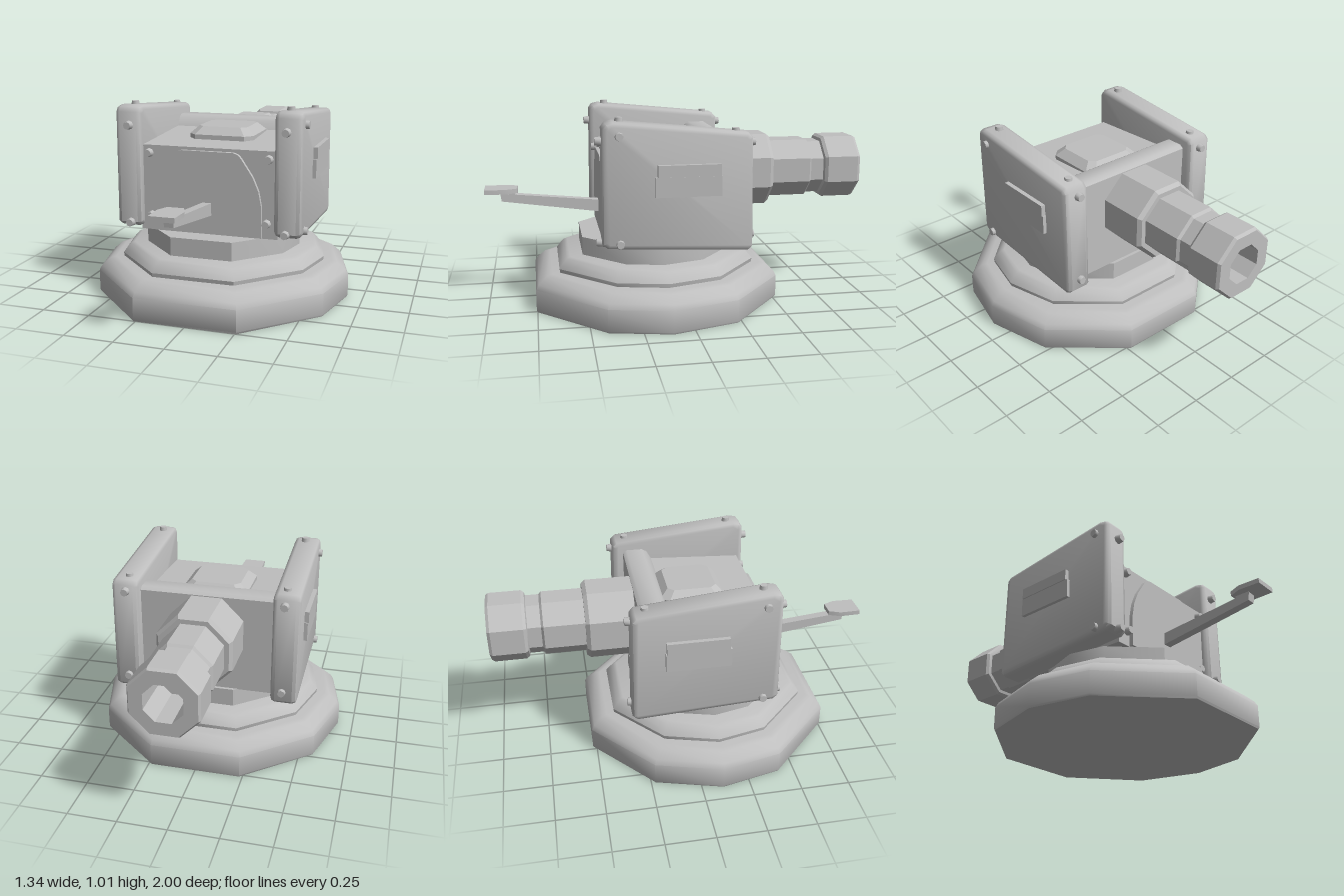
import * as THREE from 'three';
import { toCreasedNormals } from 'three/addons/utils/BufferGeometryUtils.js';

const grey = new THREE.MeshStandardMaterial({ color: 0xbfbfbf });
grey.name = 'grey metal';

// Half outline of the slightly uneven ten-sided base, as [x, z] round its own centre
const BASE_Z = 0.12;
const half = [[0.26, 0.635], [0.6, 0.3], [0.67, -0.01], [0.575, -0.35], [0.235, -0.64]];
const outline = [...half, ...half.map(([x, z]) => [-x, z]).reverse()];

function add(parent, name, geometry, crease = 0.7) {
  const mesh = new THREE.Mesh(toCreasedNormals(geometry, crease), grey);
  mesh.name = name;
  parent.add(mesh);
  return mesh;
}

const vec2 = (points) => points.map(([a, b]) => new THREE.Vector2(a, b));

// Ten-sided tier: profile of [half width, y] swept round the outline
function tier(profile) {
  const geo = new THREE.LatheGeometry(vec2(profile), 10);
  const pos = geo.attributes.position;
  for (let i = 0; i < pos.count; i++) {
    const [x, z] = outline[Math.floor(i / profile.length) % 10];
    const s = profile[i % profile.length][0] / 0.67;
    pos.setXYZ(i, x * s, profile[i % profile.length][1], z * s + BASE_Z);
  }
  return geo;
}

// Side profile of [z, y] extruded across x, centred on x = 0
function sideExtrude(points, width, bevel = 0) {
  const geo = new THREE.ExtrudeGeometry(new THREE.Shape(vec2(points)), {
    depth: width - 2 * bevel, bevelEnabled: bevel > 0, bevelSize: bevel,
    bevelThickness: bevel, bevelOffset: -bevel, bevelSegments: 2,
  });
  geo.translate(0, 0, bevel - width / 2);
  return geo.rotateY(-Math.PI / 2);
}

// Small bolt head pointing along a direction
function bolt(parent, x, y, z, dx, dy, dz) {
  const mesh = add(parent, 'bolt', new THREE.CylinderGeometry(0.019, 0.025, 0.04, 8), 0.9);
  mesh.position.set(x, y, z);
  mesh.quaternion.setFromUnitVectors(new THREE.Vector3(0, 1, 0), new THREE.Vector3(dx, dy, dz));
}

export function createModel() {
  const model = new THREE.Group();
  model.name = 'turret';

  // Stepped base
  add(model, 'baseSlab', tier([[0, 0], [0.665, 0], [0.67, 0.01], [0.67, 0.12], [0.655, 0.145], [0.61, 0.183], [0.58, 0.19], [0, 0.19]]), 0.75);
  add(model, 'baseStep', tier([[0.535, 0.18], [0.54, 0.21], [0.525, 0.23], [0.5, 0.258], [0.48, 0.267], [0, 0.267]]), 0.75);
  add(model, 'neck', tier([[0.41, 0.26], [0.41, 0.362], [0, 0.362]]));

  // Body with a raised rear rim
  add(model, 'body', sideExtrude([[-0.255, 0.36], [0.39, 0.36], [0.39, 0.8], [-0.1, 0.825],
    [-0.125, 0.87], [-0.15, 0.885], [-0.235, 0.885], [-0.255, 0.87]], 0.72));

  // Arched front plate
  const arch = [[0.28, 0.365], [0.28, 0.52], [0.265, 0.6], [0.235, 0.67], [0.175, 0.76], [0.16, 0.776], [0.135, 0.785]];
  const plateShape = new THREE.Shape(vec2([...arch, ...arch.map(([x, y]) => [-x, y]).reverse()]));
  add(model, 'frontPlate', new THREE.ExtrudeGeometry(plateShape, { depth: 0.03, bevelEnabled: false })).position.z = 0.38;

  // Roof hatch with cut corners and a sloping edge
  const hatchRing = (w, d, c) => [[w, d - c], [w, c - d], [w - c, -d], [c - w, -d],
    [-w, c - d], [-w, d - c], [c - w, d], [w - c, d]];
  const rings = [[0.172, 0.165, 0.04, 0.79], [0.172, 0.165, 0.04, 0.833], [0.13, 0.125, 0.03, 0.872], [0, 0, 0, 0.872]];
  const verts = rings.flatMap(([w, d, c, y]) => hatchRing(w, d, c).map(([x, z]) => [x, y, z + 0.045])).flat();
  const index = [];
  for (let r = 0; r < 3; r++) {
    for (let i = 0; i < 8; i++) {
      const a = r * 8 + i, b = r * 8 + (i + 1) % 8;
      index.push(a, b, a + 8, b, b + 8, a + 8);
    }
  }
  const hatch = new THREE.BufferGeometry();
  hatch.setAttribute('position', new THREE.Float32BufferAttribute(verts, 3));
  hatch.setIndex(index);
  add(model, 'hatch', hatch, 0.5);

  // Armoured side panels, with slot bars and bolts
  const panel = [[-0.322, 0.36], [-0.3, 0.34], [0.4, 0.378], [0.428, 0.4], [0.422, 0.965],
    [0.405, 0.99], [0.37, 0.998], [-0.29, 0.933], [-0.313, 0.91]];
  for (const s of [1, -1]) {
    const side = new THREE.Group();
    side.name = s > 0 ? 'leftSide' : 'rightSide';
    model.add(side);
    add(side, 'sidePanel', sideExtrude(panel, 0.137, 0.024), 0.9).position.x = s * 0.413;
    add(side, 'upperSlotBar', new THREE.BoxGeometry(0.04, 0.058, 0.31)).position.set(s * 0.484, 0.76, 0.005);
    add(side, 'lowerSlotBar', new THREE.BoxGeometry(0.036, 0.098, 0.325)).position.set(s * 0.482, 0.681, 0.008);
    for (const y of [0.9, 0.4]) bolt(side, s * 0.405, y, 0.433, 0, 0, 1);
    for (const y of [0.88, 0.41]) bolt(side, s * 0.405, y, -0.32, 0, 0, -1);
    for (const y of [0.93, 0.405]) bolt(side, s * 0.479, y, 0.342, s, 0, 0);
    bolt(side, s * 0.405, 0.993, 0.335, 0, 1, 0);
    bolt(side, s * 0.405, 0.93, -0.24, 0, 1, 0);
    for (const [x, y] of [[0.312, 0.76], [0.302, 0.437]]) bolt(side, s * x, y, 0.4, 0, 0, 1);
  }

  // Eight-sided hollow barrel; radii given across the flats
  const barrelProfile = [[0.19, 0.2], [0.19, 0.49], [0.175, 0.51], [0.152, 0.51], [0.152, 0.72],
    [0.14, 0.732], [0.14, 0.8], [0.155, 0.805], [0.166, 0.82], [0.166, 0.985], [0.157, 1],
    [0.092, 1], [0.092, 0.75], [0, 0.75]];
  const barrel = new THREE.LatheGeometry(
    vec2(barrelProfile.map(([r, z]) => [r / Math.cos(Math.PI / 8), z])), 8, Math.PI / 8);
  add(model, 'barrel', barrel.rotateX(-Math.PI / 2), 0.5).position.y = 0.675;

  // Control lever and its tapered grip
  add(model, 'lever', sideExtrude([[0.38, 0.458], [0.915, 0.536], [0.92, 0.578], [0.38, 0.523]], 0.046));
  const grip = new THREE.Shape(vec2([[-0.04, -0.83], [-0.065, -0.89], [-0.062, -1], [0.062, -1], [0.065, -0.89], [0.04, -0.83]]));
  const gripGeo = new THREE.ExtrudeGeometry(grip, { depth: 0.024, bevelEnabled: false }).rotateX(-Math.PI / 2);
  add(model, 'grip', gripGeo).position.y = 0.582;
  add(model, 'gripStem', new THREE.BoxGeometry(0.044, 0.03, 0.07)).position.set(0, 0.568, 0.88);

  return model;
}
